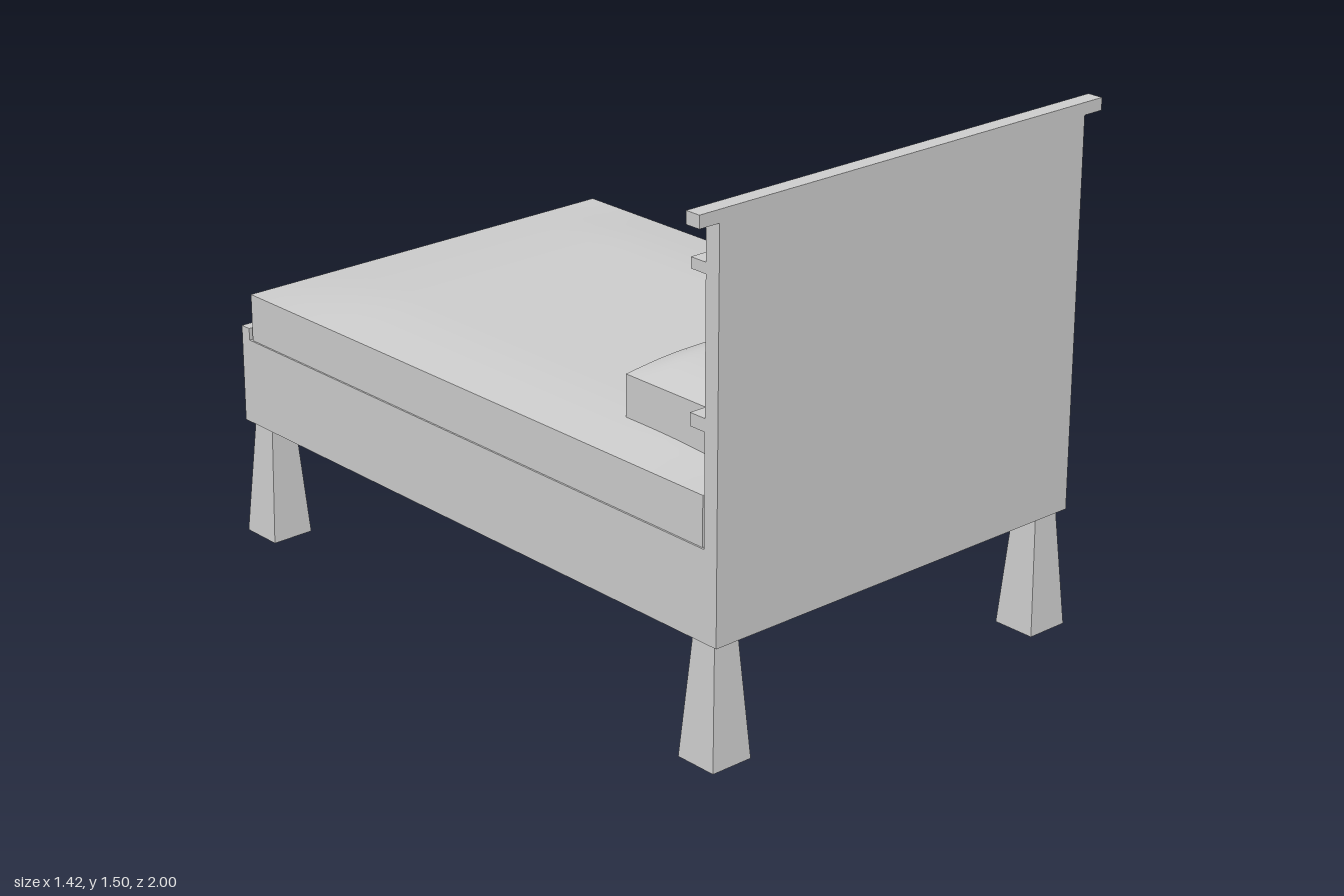
import * as THREE from 'three';

const material = new THREE.MeshStandardMaterial({ color: 0xcccccc });

function addMesh(parent, name, geometry) {
  const mesh = new THREE.Mesh(geometry, material);
  mesh.name = name;
  parent.add(mesh);
  return mesh;
}

// Box given by its minimum and maximum corners
function addBox(parent, name, [x0, y0, z0], [x1, y1, z1]) {
  const mesh = addMesh(parent, name, new THREE.BoxGeometry(x1 - x0, y1 - y0, z1 - z0));
  mesh.position.set((x0 + x1) / 2, (y0 + y1) / 2, (z0 + z1) / 2);
  return mesh;
}

// Box whose top vertices are raised by rise(u, v), with u and v from -1 to 1
function crownedBox(w, h, d, segX, segZ, rise) {
  const geometry = new THREE.BoxGeometry(w, h, d, segX, 1, segZ);
  const p = geometry.attributes.position;
  for (let i = 0; i < p.count; i++) {
    if (p.getY(i) > 0) {
      p.setY(i, h / 2 + rise(p.getX(i) * 2 / w, p.getZ(i) * 2 / d));
    }
  }
  geometry.computeVertexNormals();
  return geometry;
}

// Square leg, wider at the foot
function taperedLeg(top, bottom, height) {
  const geometry = new THREE.BoxGeometry(bottom, height, bottom);
  const p = geometry.attributes.position;
  for (let i = 0; i < p.count; i++) {
    if (p.getY(i) > 0) {
      p.setX(i, p.getX(i) * top / bottom);
      p.setZ(i, p.getZ(i) * top / bottom);
    }
  }
  geometry.computeVertexNormals();
  return geometry;
}

// 0 at the rim, easing to 1 within the given share of the half width
const ramp = (t, share) => {
  const k = Math.min(1, (1 - Math.abs(t)) / share);
  return Math.sin(k * Math.PI / 2);
};

export function createModel() {
  const bed = new THREE.Group();
  bed.name = 'bed';

  // Base and footboard
  addBox(bed, 'bedFrame', [-0.645, 0.345, -0.965], [0.645, 0.6, 0.95]);
  addBox(bed, 'footboard', [-0.645, 0.345, -1], [0.645, 0.635, -0.965]);

  // Headboard with cap, two ledges and a centre divider
  const headboard = new THREE.Group();
  headboard.name = 'headboard';
  bed.add(headboard);
  addBox(headboard, 'headboardPanel', [-0.645, 0.345, 0.95], [0.645, 1.46, 0.997]);
  addBox(headboard, 'headboardCap', [-0.71, 1.46, 0.95], [0.71, 1.495, 0.997]);
  addBox(headboard, 'upperLedge', [-0.645, 1.32, 0.897], [0.645, 1.35, 0.95]);
  addBox(headboard, 'lowerLedge', [-0.645, 0.912, 0.897], [0.645, 0.948, 0.95]);
  addBox(headboard, 'centreDivider', [-0.02, 0.948, 0.905], [0.04, 1.32, 0.95]);

  // Mattress with a softly crowned top
  const mattress = addMesh(bed, 'mattress', crownedBox(1.28, 0.14, 1.895, 24, 32,
    (u, v) => 0.024 * ramp(u, 0.45) * ramp(v, 0.42)));
  mattress.position.set(0, 0.67, -0.008);

  // Pillows: arched along the width, fuller in the middle
  for (const x of [-0.235, 0.275]) {
    const pillow = addMesh(bed, 'pillow', crownedBox(0.485, 0.138, 0.315, 20, 16,
      (u, v) => 0.034 * ramp(u, 0.9) * (0.5 + 0.5 * ramp(v, 0.45))));
    pillow.position.set(x, 0.809, 0.628);
  }

  // Four legs
  for (const x of [-0.589, 0.589]) {
    for (const z of [-0.934, 0.934]) {
      const leg = addMesh(bed, 'leg', taperedLeg(0.08, 0.13, 0.345));
      leg.position.set(x, 0.1725, z);
    }
  }
  return bed;
}
